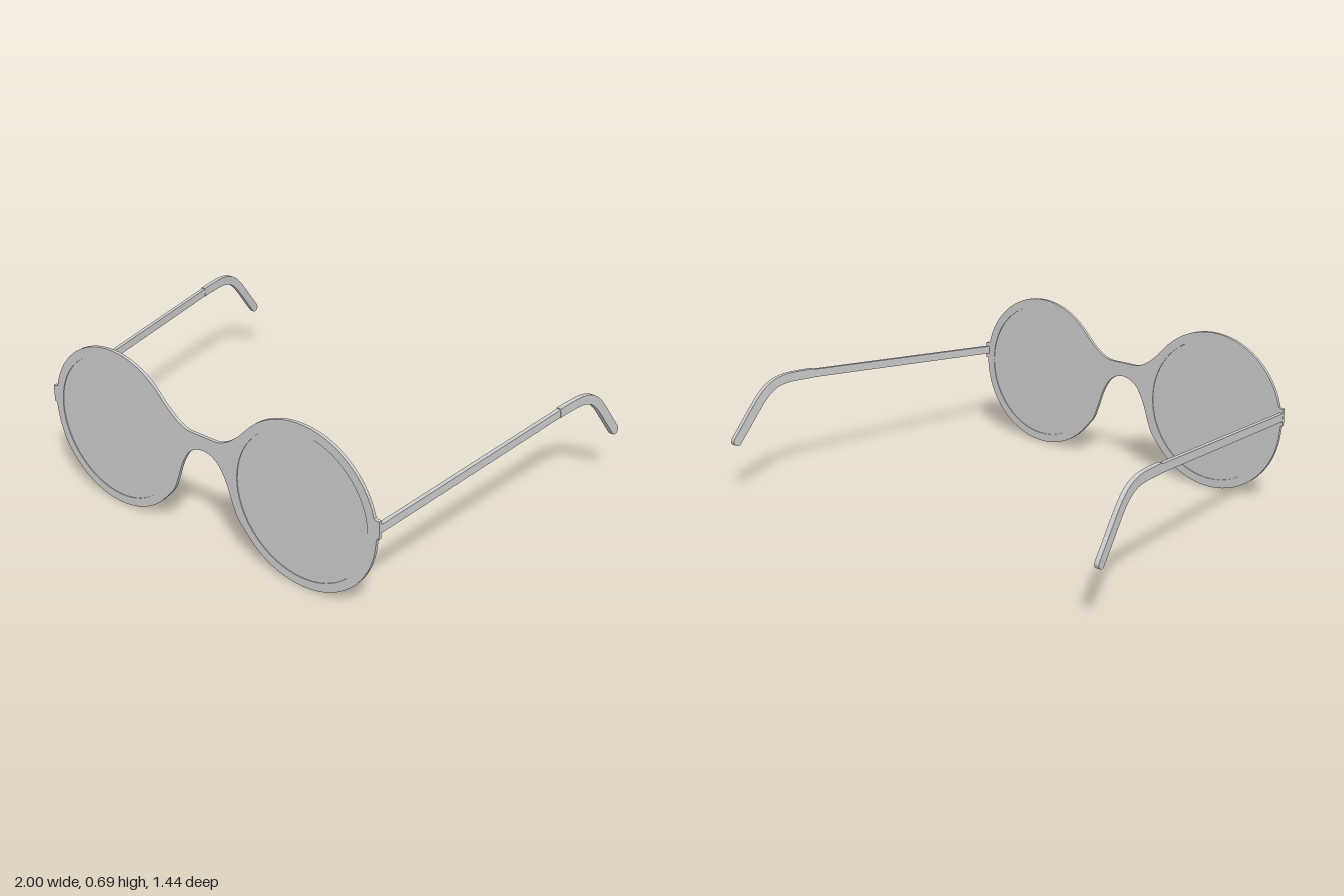
import * as THREE from 'three';
import { toCreasedNormals } from 'three/addons/utils/BufferGeometryUtils.js';

const LENS = { x: 0.475, y: 0.346, rim: 0.344, hole: 0.307 };
const FRONT_Z = 0.713, FRONT_DEPTH = 0.014;
const material = new THREE.MeshStandardMaterial({ color: 0xcccccc });
const v2 = (x, y) => new THREE.Vector2(x, y);

function makeMesh(name, geometry) {
  const mesh = new THREE.Mesh(geometry, material);
  mesh.name = name;
  return mesh;
}

// Points on the +x rim between two angles in degrees
function rimArc(from, to, steps) {
  return Array.from({ length: steps + 1 }, (_, i) => {
    const a = THREE.MathUtils.degToRad(from + (to - from) * i / steps);
    return v2(LENS.x + LENS.rim * Math.cos(a), LENS.y + LENS.rim * Math.sin(a));
  });
}

// One-piece front: two rims, bridge and end tabs, with a hole per lens
function frontGeometry() {
  const upper = rimArc(138, 14, 24);
  const lower = rimArc(-4, -140, 26);
  const bridgeTop = new THREE.QuadraticBezierCurve(v2(0.06, 0.472), v2(0.125, 0.472), upper[0]).getPoints(8);
  const bridgeArch = new THREE.SplineCurve([
    lower[lower.length - 1], v2(0.165, 0.18), v2(0.14, 0.24), v2(0.115, 0.31),
    v2(0.08, 0.372), v2(0.04, 0.402), v2(0, 0.411),
  ]).getPoints(24);
  const tab = [v2(0.818, 0.425), v2(0.832, 0.425), v2(0.832, 0.351), v2(0.822, 0.351)];
  const half = [v2(0, 0.472), ...bridgeTop, ...upper.slice(1), ...tab, ...lower, ...bridgeArch.slice(1)];
  const mirrored = half.slice(1, -1).reverse().map((p) => v2(-p.x, p.y));

  const shape = new THREE.Shape([...half, ...mirrored]);
  for (const side of [1, -1]) {
    shape.holes.push(new THREE.Path().absarc(side * LENS.x, LENS.y, LENS.hole, 0, Math.PI * 2));
  }
  const geo = new THREE.ExtrudeGeometry(shape, { depth: FRONT_DEPTH, bevelEnabled: false, curveSegments: 32 });
  geo.translate(0, 0, FRONT_Z - FRONT_DEPTH / 2);
  return toCreasedNormals(geo, 0.5);
}

// Flat strip around a centre line in the (z, y) plane, splayed outwards to the back
function stripGeometry(line, halfHeight, thickness, roundEnd) {
  const top = [], bottom = [];
  let end = 0;
  line.forEach((p, i) => {
    const a = line[Math.max(i - 1, 0)], b = line[Math.min(i + 1, line.length - 1)];
    end = Math.atan2(b.y - a.y, b.x - a.x);
    const n = v2(-Math.sin(end), Math.cos(end)).multiplyScalar(halfHeight);
    top.push(p.clone().add(n));
    bottom.unshift(p.clone().sub(n));
  });
  const cap = [];
  for (let i = 1; roundEnd && i < 10; i++) {
    const a = end + Math.PI / 2 - Math.PI * i / 10;
    cap.push(line[line.length - 1].clone().add(v2(Math.cos(a), Math.sin(a)).multiplyScalar(halfHeight)));
  }
  const geo = new THREE.ExtrudeGeometry(new THREE.Shape([...top, ...cap, ...bottom]), { depth: thickness, bevelEnabled: false });
  geo.translate(0, 0, -thickness / 2);
  geo.rotateY(Math.PI / 2);
  const pos = geo.attributes.position;
  for (let i = 0; i < pos.count; i++) {
    pos.setX(i, pos.getX(i) + 0.822 + 0.1175 * (FRONT_Z - pos.getZ(i)));
  }
  geo.computeVertexNormals();
  return toCreasedNormals(geo, 0.5);
}

// Temple: straight arm plus a slightly thicker, bent ear tip
function makeTemple(name) {
  const temple = new THREE.Group();
  temple.name = name;
  // Centre lines run backwards, so the first coordinate is -z
  const arm = [v2(-0.708, 0.39), v2(0.32, 0.463)];
  const tip = new THREE.CatmullRomCurve3([
    [0.3, 0.463], [0.37, 0.466], [0.44, 0.465], [0.49, 0.454], [0.53, 0.432],
    [0.565, 0.4], [0.6, 0.358], [0.648, 0.296], [0.696, 0.235],
  ].map(([x, y]) => new THREE.Vector3(x, y, 0))).getPoints(32).map((p) => v2(p.x, p.y));
  temple.add(makeMesh('templeArm', stripGeometry(arm, 0.0175, 0.017, false)));
  temple.add(makeMesh('earTip', stripGeometry(tip, 0.02, 0.02, true)));
  return temple;
}

export function createModel() {
  const model = new THREE.Group();
  model.name = 'glasses';
  model.add(makeMesh('frontFrame', frontGeometry()));

  for (const [name, side] of [['left', 1], ['right', -1]]) {
    // Lens sits slightly recessed in its rim
    const lens = makeMesh(name + 'Lens', new THREE.CylinderGeometry(LENS.hole + 0.002, LENS.hole + 0.002, 0.008, 64));
    lens.rotation.x = Math.PI / 2;
    lens.position.set(side * LENS.x, LENS.y, FRONT_Z);
    model.add(lens);

    const temple = makeTemple(name + 'Temple');
    temple.scale.x = side;
    model.add(temple);
  }
  return model;
}
